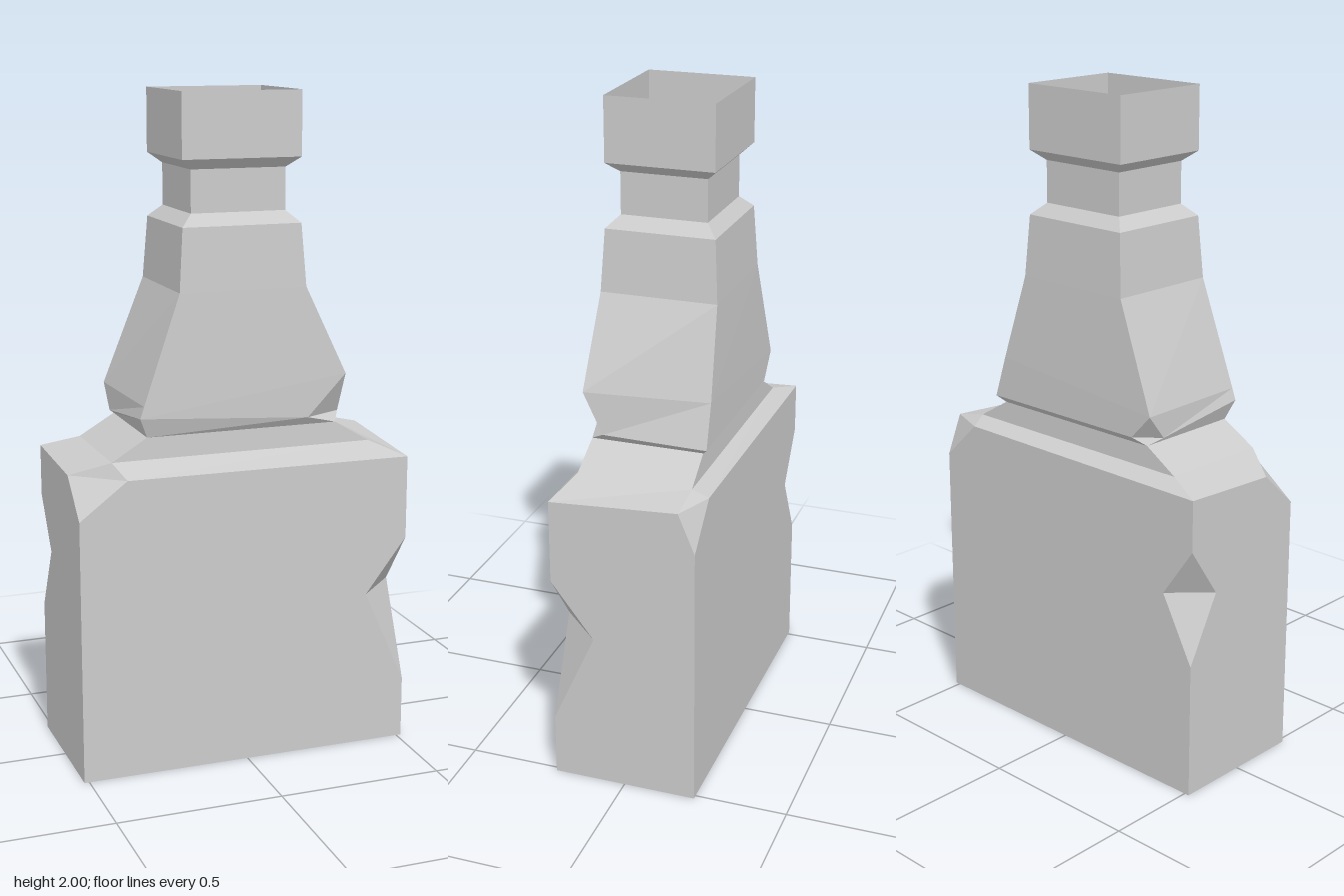
import * as THREE from 'three';

const material = new THREE.MeshStandardMaterial({ color: 0xcccccc, flatShading: true, side: THREE.DoubleSide });

// Corner order: front left, back left, back right, front right (the model's own sides)
const SIGNS = [[1, 1], [1, -1], [-1, -1], [-1, 1]];
const perCorner = (v, i) => (Array.isArray(v) ? v[i] : v);

// Rectangular ring with two points per corner; cuts[i] = [dx, dz] chips corner i
function ring(y, x, z, cuts = []) {
  const points = [];
  SIGNS.forEach(([sx, sz], i) => {
    const [dx, dz] = cuts[i] || [0, 0];
    const px = perCorner(x, i), py = perCorner(y, i), pz = perCorner(z, i);
    const alongX = new THREE.Vector3(sx * (px - dx), py, sz * pz);
    const alongZ = new THREE.Vector3(sx * px, py, sz * (pz - dz));
    points.push(...(sx * sz > 0 ? [alongX, alongZ] : [alongZ, alongX]));
  });
  return points;
}

// Joins rings from bottom to top with flat faces
function loft(name, rings, closeBottom = false) {
  const positions = [];
  const triangle = (a, b, c) => {
    if (new THREE.Triangle(a, b, c).getArea() < 1e-7) return;
    for (const p of [a, b, c]) positions.push(p.x, p.y, p.z);
  };
  for (let r = 0; r + 1 < rings.length; r++) {
    const low = rings[r], high = rings[r + 1];
    for (let i = 0; i < low.length; i++) {
      const j = (i + 1) % low.length;
      triangle(low[i], low[j], high[j]);
      triangle(low[i], high[j], high[i]);
    }
  }
  if (closeBottom) {
    const base = rings[0];
    for (let i = 1; i + 1 < base.length; i++) triangle(base[0], base[i + 1], base[i]);
  }
  const geometry = new THREE.BufferGeometry();
  geometry.setAttribute('position', new THREE.Float32BufferAttribute(positions, 3));
  geometry.computeVertexNormals();
  const mesh = new THREE.Mesh(geometry, material);
  mesh.name = name;
  return mesh;
}

// Chips on the body's upright edges: bottom, deepest and top height, depth in x and z
const CHIPS = [
  { from: 0.19, mid: 0.48, to: 0.65, dx: 0.13, dz: 0.13 },
  { from: 0.81, mid: 0.93, to: 2, dx: 0.125, dz: 0.05 },
  { from: 0.415, mid: 0.615, to: 0.77, dx: 0.108, dz: 0.106 },
  { from: 0.8, mid: 0.91, to: 2, dx: 0.145, dz: 0.12 },
];

function chipAt(chip, y) {
  const rise = (y - chip.from) / (chip.mid - chip.from);
  const fall = (chip.to - y) / (chip.to - chip.mid);
  const t = THREE.MathUtils.clamp(Math.min(rise, fall), 0, 1);
  return [chip.dx * t, chip.dz * t];
}

export function createModel() {
  const group = new THREE.Group();
  group.name = 'bottle';

  // Boxy body with chipped edges and an uneven upper rim
  const bodyRing = (y) => ring(y, 0.515, 0.22, CHIPS.map((c, i) => chipAt(c, perCorner(y, i))));
  const rimHeights = [0.905, 0.93, 0.925, 0.91];
  const heights = [0, 0.19, 0.415, 0.48, 0.615, 0.65, 0.77, 0.8, 0.81, rimHeights];
  group.add(loft('body', heights.map(bodyRing), true));

  // Sloping shoulder
  const shoulderTop = ring(1.02, 0.295, 0.17);
  group.add(loft('shoulder', [bodyRing(rimHeights), ring(0.955, 0.403, 0.173), shoulderTop]));

  // Tapered upper section, with two opposite lower corners broken off
  group.add(loft('taperedNeck', [
    shoulderTop,
    ring([1.045, 1.04, 1.04, 1.08], 0.32, 0.188, [[0.12, 0.06], null, [0.07, 0.06], null]),
    ring([1.17, 1.17, 1.115, 1.115], [0.32, 0.278, 0.32, 0.308], 0.187),
    ring(1.435, 0.195, 0.176),
    ring(1.62, 0.182, 0.165),
    ring(1.655, 0.145, 0.13),
  ]));

  // Narrow throat and open square lip
  group.add(loft('throat', [ring(1.655, 0.145, 0.13), ring(1.78, 0.145, 0.13)]));
  group.add(loft('lip', [ring(1.78, 0.145, 0.13), ring(1.81, 0.182, 0.163), ring(2, 0.182, 0.163)]));

  return group;
}
